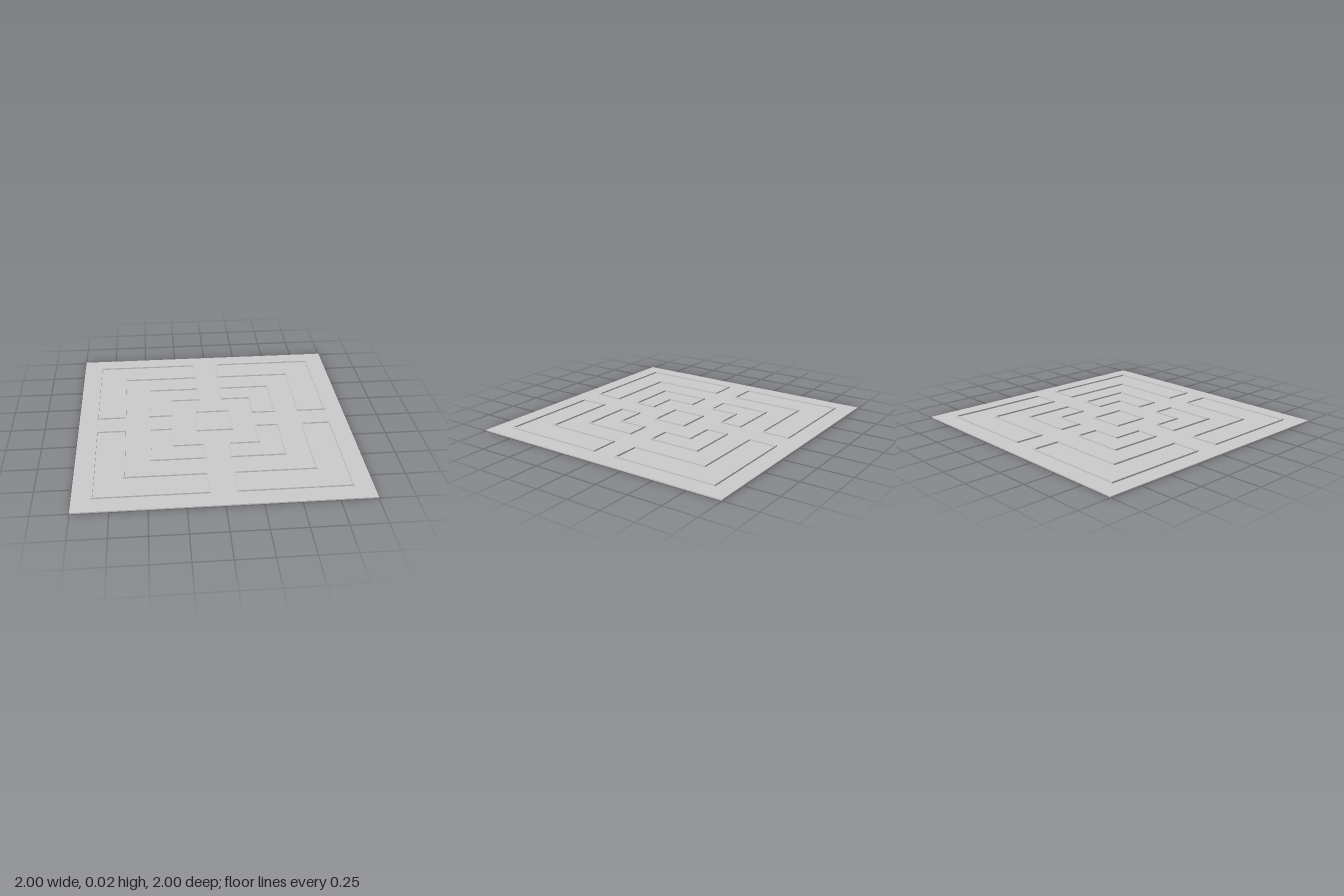
import * as THREE from 'three';

const SLAB = 0.009, TOP = 0.02, WIDTH = 0.01;
const material = new THREE.MeshStandardMaterial({ color: 0xcccccc, flatShading: true });

// L-shaped bed corners: gap from the axis, inner edge, outer edge, inset
const bedCorners = (gap, inner, outer, inset) => {
  const g = gap + inset, i = inner + inset, o = outer - inset;
  return [[g, i], [i, i], [i, g], [o, g], [o, o], [g, o]];
};

const squareCorners = (half, inset) => {
  const h = half - inset;
  return [[-h, -h], [h, -h], [h, h], [-h, h]];
};

// Thin kerb ring between an outline and the same outline inset
function kerbGeometry(outline) {
  const toPoints = (inset) => outline(inset).map(([x, y]) => new THREE.Vector2(x, y));
  const shape = new THREE.Shape(toPoints(0));
  shape.holes.push(new THREE.Path(toPoints(WIDTH)));
  const geometry = new THREE.ExtrudeGeometry(shape, { depth: TOP, bevelEnabled: false });
  return geometry.rotateX(-Math.PI / 2);
}

export function createModel() {
  const group = new THREE.Group();
  const add = (name, geometry) => {
    const mesh = new THREE.Mesh(geometry, material);
    mesh.name = name;
    group.add(mesh);
    return mesh;
  };

  // Ground slab
  add('groundSlab', new THREE.BoxGeometry(2, SLAB, 2).translate(0, SLAB / 2, 0));

  // Square kerb in the middle
  add('centreKerb', kerbGeometry((inset) => squareCorners(0.133, inset)));

  // Two rings of four L-shaped kerbs, one per quarter
  const outerKerb = kerbGeometry((inset) => bedCorners(0.087, 0.653, 0.87, inset));
  const innerKerb = kerbGeometry((inset) => bedCorners(0.087, 0.304, 0.48, inset));
  for (let quarter = 0; quarter < 4; quarter++) {
    add('outerBedKerb' + (quarter + 1), outerKerb).rotation.y = quarter * Math.PI / 2;
    add('innerBedKerb' + (quarter + 1), innerKerb).rotation.y = quarter * Math.PI / 2;
  }
  return group;
}
